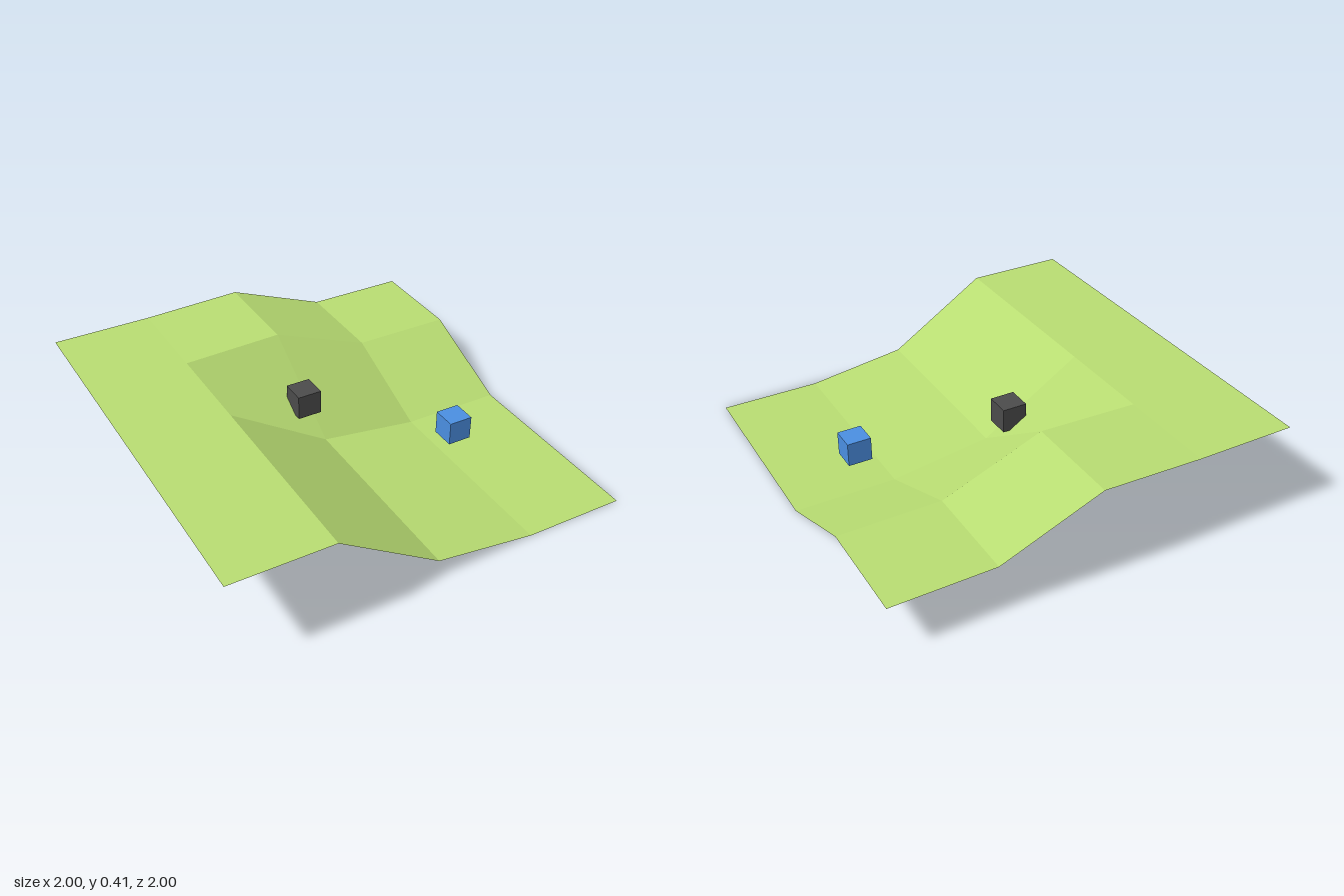
import * as THREE from 'three';

const STEP = 0.5;

// Terrain heights: rows run from back (z = -1) to front (z = 1), columns from x = -1 to x = 1
const HIGH_ROW = [0.39, 0.39, 0.405, 0.205, 0.205];
const LOW_ROW = [0.39, 0.39, 0.07, 0, 0];
const HEIGHTS = [HIGH_ROW, HIGH_ROW, LOW_ROW, LOW_ROW, LOW_ROW];

// Faceted sheet: every grid cell is a quad with one shared normal
function terrainGeometry() {
  const positions = [];
  const normals = [];
  const point = (row, col) =>
    new THREE.Vector3(-1 + col * STEP, HEIGHTS[row][col], -1 + row * STEP);

  for (let row = 0; row < 4; row++) {
    for (let col = 0; col < 4; col++) {
      const a = point(row, col);
      const b = point(row + 1, col);
      const c = point(row + 1, col + 1);
      const d = point(row, col + 1);
      const normal = c.clone().sub(a).cross(d.clone().sub(b)).normalize();
      for (const p of [a, b, d, b, c, d]) {
        positions.push(p.x, p.y, p.z);
        normals.push(normal.x, normal.y, normal.z);
      }
    }
  }
  const geometry = new THREE.BufferGeometry();
  geometry.setAttribute('position', new THREE.Float32BufferAttribute(positions, 3));
  geometry.setAttribute('normal', new THREE.Float32BufferAttribute(normals, 3));
  return geometry;
}

function material(name, color) {
  const m = new THREE.MeshStandardMaterial({ color });
  m.name = name;
  return m;
}

export function createModel() {
  const model = new THREE.Group();
  model.name = 'terrainWithCubes';

  const grass = material('grassGreen', 0xb8dc72);
  grass.side = THREE.DoubleSide;
  const charcoal = material('charcoal', 0x4b4b4b);
  const blue = material('blue', 0x4a8ee0);

  // Ground sheet
  const terrain = new THREE.Mesh(terrainGeometry(), grass);
  terrain.name = 'terrain';
  model.add(terrain);

  // Two cubes on the slope
  const cubeGeometry = new THREE.BoxGeometry(0.122, 0.122, 0.122);
  const addCube = (name, mat, x, y, z) => {
    const cube = new THREE.Mesh(cubeGeometry, mat);
    cube.name = name;
    cube.position.set(x, y, z);
    model.add(cube);
  };
  addCube('darkCube', charcoal, -0.06, 0.266, -0.11);
  addCube('blueCube', blue, 0.6, 0.091, 0.226);

  return model;
}
